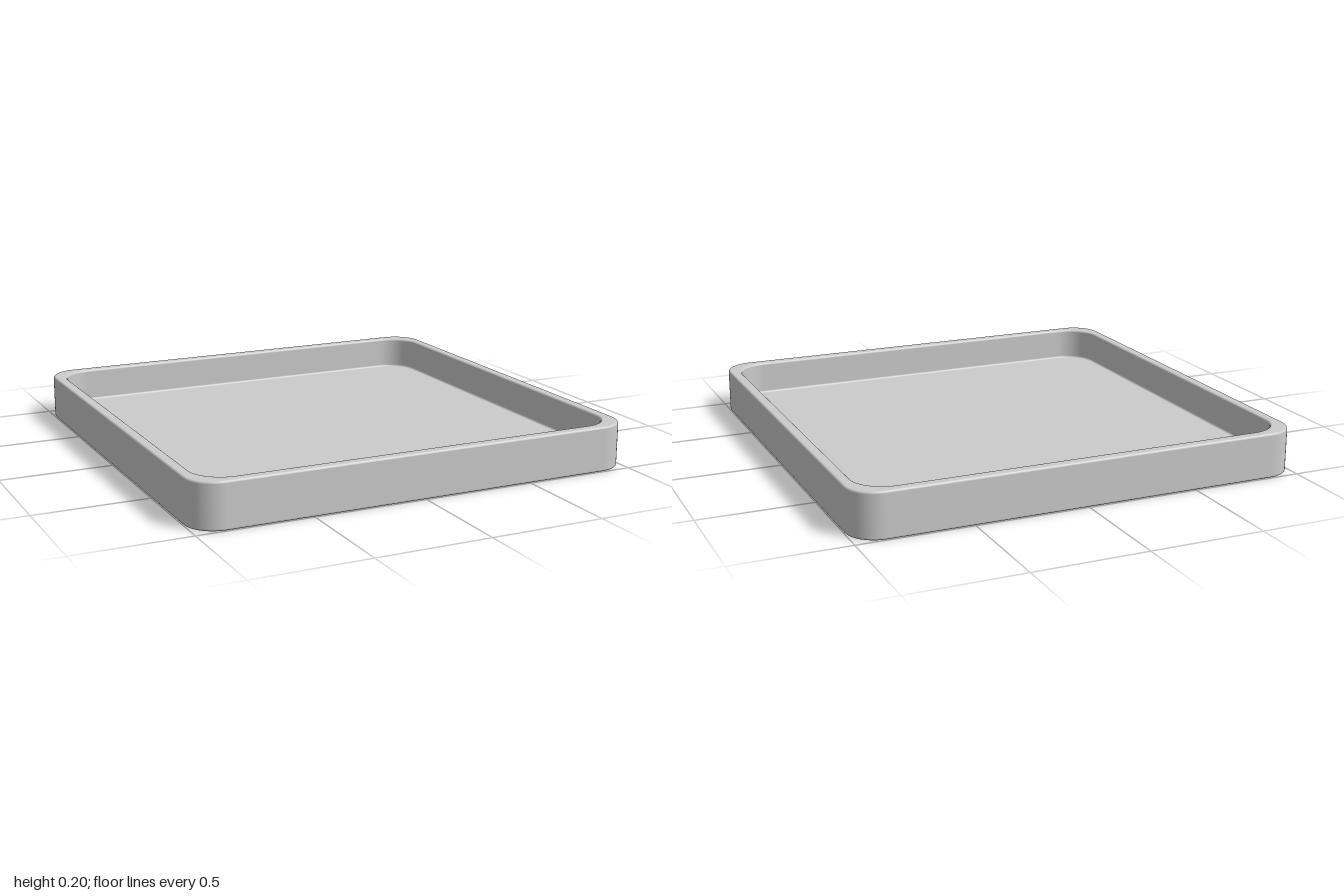
import * as THREE from 'three';

const HEIGHT = 0.2, FLOOR = 0.05, BEVEL = 0.01;
const OUTER = { half: 1, radius: 0.13 };
const INNER = { half: 0.95, radius: 0.14 };
const CORNER_STEPS = 12, BEVEL_STEPS = 4;

// Quarter-round part of the wall profile; sign -1 makes a concave fillet
function roundEdge(half, radius, y, from, to, sign = 1) {
  const stations = [];
  for (let i = 0; i <= BEVEL_STEPS; i++) {
    const tilt = THREE.MathUtils.degToRad(from + (to - from) * i / BEVEL_STEPS);
    const d = sign * BEVEL * Math.cos(tilt);
    stations.push({ half: half + d, radius: radius + d, y: y + sign * BEVEL * Math.sin(tilt), tilt });
  }
  return stations;
}

// Sweeps the profile around a rounded square, with exact smooth normals
function sweepRoundedSquare(profile) {
  const position = [], normal = [], index = [];
  const ring = 4 * (CORNER_STEPS + 1);
  for (const { half, radius, y, tilt } of profile) {
    for (let corner = 0; corner < 4; corner++) {
      const mid = (corner + 0.5) * Math.PI / 2;
      const cx = Math.sign(Math.cos(mid)) * (half - radius);
      const cz = Math.sign(Math.sin(mid)) * (half - radius);
      for (let i = 0; i <= CORNER_STEPS; i++) {
        const a = (corner + i / CORNER_STEPS) * Math.PI / 2;
        const dx = Math.cos(a), dz = Math.sin(a);
        position.push(cx + radius * dx, y, cz + radius * dz);
        normal.push(dx * Math.cos(tilt), Math.sin(tilt), dz * Math.cos(tilt));
      }
    }
  }
  for (let s = 0; s < profile.length - 1; s++) {
    for (let i = 0; i < ring; i++) {
      const a = s * ring + i, b = s * ring + (i + 1) % ring;
      index.push(a, a + ring, b, b, a + ring, b + ring);
    }
  }
  const geometry = new THREE.BufferGeometry();
  geometry.setAttribute('position', new THREE.Float32BufferAttribute(position, 3));
  geometry.setAttribute('normal', new THREE.Float32BufferAttribute(normal, 3));
  geometry.setIndex(index);
  return geometry;
}

export function createModel() {
  const group = new THREE.Group();
  group.name = 'squareTray';

  const outHalf = OUTER.half - BEVEL, outRadius = OUTER.radius - BEVEL;
  const profile = [
    // underside centre
    { half: 0, radius: 0, y: 0, tilt: -Math.PI / 2 },
    // outer wall: bottom edge, then rim edge
    ...roundEdge(outHalf, outRadius, BEVEL, -90, 0),
    ...roundEdge(outHalf, outRadius, HEIGHT - BEVEL, 0, 90),
    // inner wall: rim edge, then fillet into the floor
    ...roundEdge(INNER.half + BEVEL, INNER.radius + BEVEL, HEIGHT - BEVEL, 90, 180),
    ...roundEdge(INNER.half - BEVEL, INNER.radius - BEVEL, FLOOR + BEVEL, 180, 90, -1),
    // floor centre
    { half: 0, radius: 0, y: FLOOR, tilt: Math.PI / 2 },
  ];

  const tray = new THREE.Mesh(
    sweepRoundedSquare(profile),
    new THREE.MeshStandardMaterial({ color: 0xcccccc })
  );
  tray.name = 'trayBody';
  group.add(tray);
  return group;
}
